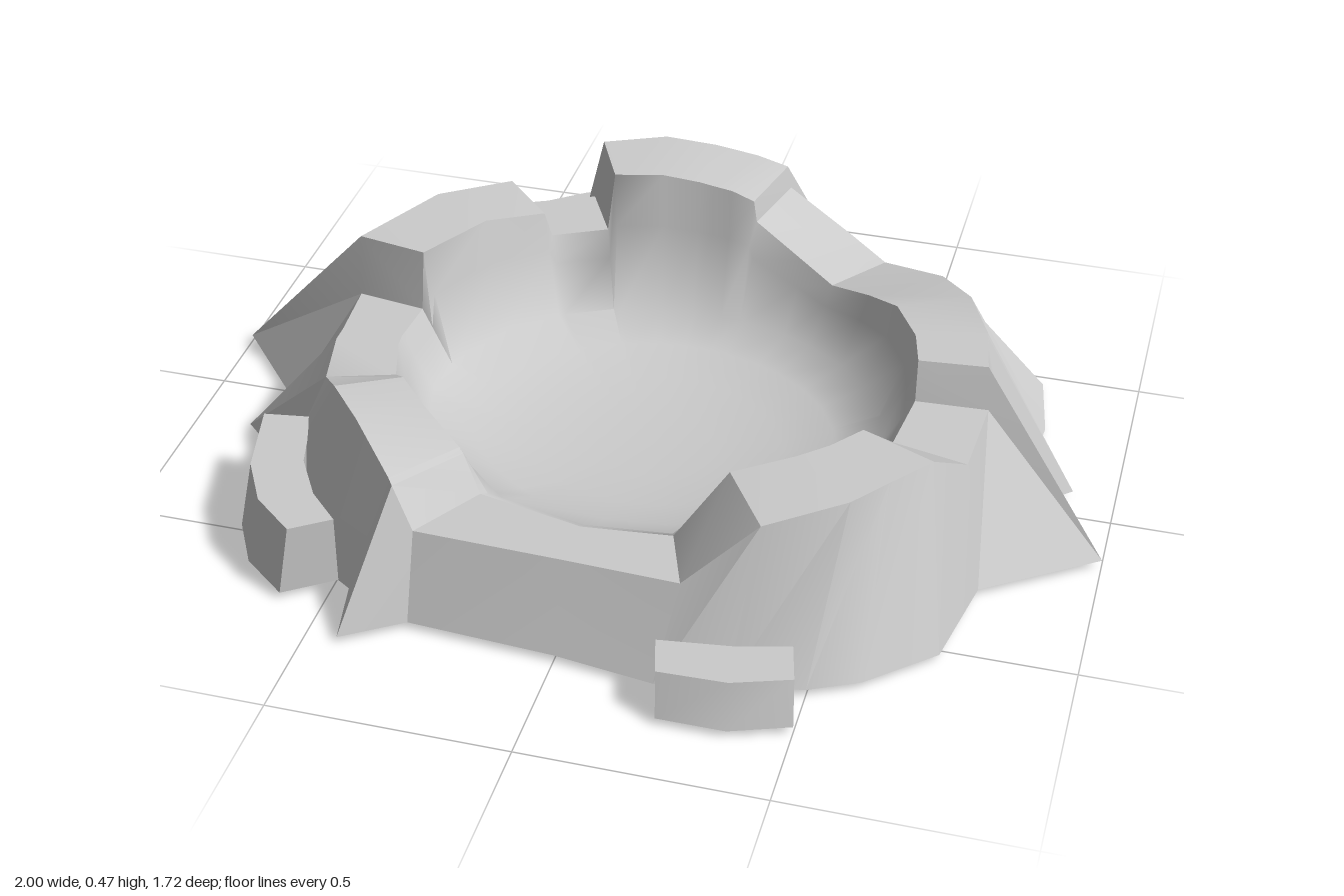
import * as THREE from 'three';
import { toCreasedNormals } from 'three/addons/utils/BufferGeometryUtils.js';

const material = new THREE.MeshStandardMaterial({ color: 0xcccccc, side: THREE.DoubleSide });
const GROUND = 0.015;

// Stations around the crater: foot x, foot z, crest x, crest z, crest height
const front = [
  [-0.31, 0.71, -0.31, 0.65, 0.2], [0, 0.73, 0, 0.66, 0.2], [0.21, 0.76, 0.24, 0.67, 0.2],
  [0.35, 0.73, 0.39, 0.645, 0.35], [0.5, 0.7, 0.54, 0.54, 0.36], [0.6, 0.65, 0.6, 0.46, 0.36],
  [0.73, 0.53, 0.67, 0.37, 0.36],
];
const left = [
  [0.73, 0.53, 0.67, 0.37, 0.36], [0.77, 0.31, 0.72, 0.24, 0.27], [1, 0.15, 0.73, 0.05, 0.275],
  [0.8, 0.03, 0.72, 0.02, 0.36], [0.91, -0.07, 0.7, -0.09, 0.36], [0.81, -0.12, 0.7, -0.1, 0.36],
  [0.82, -0.28, 0.64, -0.24, 0.355], [0.79, -0.45, 0.56, -0.36, 0.32], [0.5, -0.56, 0.42, -0.43, 0.29],
];
const back = [
  [0.5, -0.56, 0.42, -0.43, 0.29], [0.45, -0.65, 0.33, -0.48, 0.32], [0.28, -0.78, 0.18, -0.535, 0.385],
  [0.24, -0.86, 0.17, -0.54, 0.435], [0.11, -0.79, 0.1, -0.545, 0.45], [0.07, -0.85, 0.04, -0.55, 0.455],
  [0, -0.8, 0, -0.55, 0.46], [-0.2, -0.76, -0.11, -0.54, 0.47], [-0.37, -0.62, -0.24, -0.48, 0.47],
  [-0.41, -0.59, -0.26, -0.47, 0.33], [-0.56, -0.5, -0.41, -0.4, 0.33],
];
const right = [
  [-0.56, -0.5, -0.41, -0.4, 0.33], [-0.66, -0.52, -0.43, -0.39, 0.39], [-0.84, -0.36, -0.56, -0.26, 0.41],
  [-1, -0.17, -0.66, -0.04, 0.415], [-0.82, 0.04, -0.66, -0.02, 0.28], [-0.8, 0.16, -0.65, 0.12, 0.28],
  [-0.87, 0.16, -0.65, 0.16, 0.28], [-0.74, 0.28, -0.62, 0.3, 0.28], [-0.7, 0.4, -0.56, 0.4, 0.335],
  [-0.6, 0.55, -0.48, 0.49, 0.33], [-0.46, 0.64, -0.37, 0.61, 0.29], [-0.43, 0.79, -0.36, 0.62, 0.28],
  [-0.31, 0.71, -0.31, 0.65, 0.2],
];

// Skin a list of cross-sections, each a list of [x, y, z] points
function loft(name, sections, crease) {
  const n = sections[0].length;
  const index = [];
  for (let i = 0; i < sections.length - 1; i++) {
    for (let j = 0; j < n - 1; j++) {
      const a = i * n + j, b = a + n;
      index.push(a, b, b + 1, a, b + 1, a + 1);
    }
  }
  const geometry = new THREE.BufferGeometry();
  geometry.setAttribute('position', new THREE.Float32BufferAttribute(sections.flat(2), 3));
  geometry.setIndex(index);
  const mesh = new THREE.Mesh(toCreasedNormals(geometry, crease), material);
  mesh.name = name;
  return mesh;
}

// Inner lip: the crest pulled in onto an ellipse
const CX = 0.03, CZ = 0.085;
function lip([, , x, z]) {
  const dx = x - CX, dz = z - CZ;
  const k = 1 / Math.hypot(dx / 0.55, dz / 0.465);
  return [CX + dx * k, CZ + dz * k];
}

// Outer slope and flat crest of one sector
function rim(name, stations) {
  return loft(name, stations.map((s) => {
    const [ix, iz] = lip(s);
    return [[s[0], GROUND, s[1]], [s[2], s[4], s[3]], [ix, s[4], iz]];
  }), 0.45);
}

// Shallow dish that steepens up to the lip
function bowl(stations) {
  return loft('bowl', stations.map((s) => {
    const [ix, iz] = lip(s);
    return [1, 0.96, 0.88, 0.7, 0.5, 0.25, 0].map((t) => {
      const dish = 0.08 + 0.11 * t ** 3;
      const wall = Math.max(0, (t - 0.88) / 0.12) ** 1.3;
      return [CX + (ix - CX) * t, dish + (s[4] - dish) * wall, CZ + (iz - CZ) * t];
    });
  }), 1.2);
}

// Curved slab against the slope; rows hold outer x, z and inner x, z
function slab(name, rows, top, bottom) {
  const group = new THREE.Group();
  group.name = name;
  const sections = rows.map(([ox, oz, ix, iz]) => [
    [ox, bottom, oz],
    [ox + (ix - ox) * 0.22, top, oz + (iz - oz) * 0.22],
    [ix, top, iz],
    [ix, bottom, iz],
  ]);
  group.add(loft('slabBody', sections, 0.45));
  // End faces
  const ends = [sections[0], sections[sections.length - 1]];
  ends.forEach(([a, b, c, d], i) => {
    const pair = [[a, b], [d, c]];
    group.add(loft('slabEnd', i ? pair : pair.reverse(), 0.1));
  });
  return group;
}

export function createModel() {
  const model = new THREE.Group();
  model.name = 'crater';
  model.add(
    rim('frontRim', front),
    rim('leftRim', left),
    rim('backRim', back),
    rim('rightRim', right),
    bowl([...front, ...left, ...back, ...right]),
    slab('frontSlab', [
      [0.5, 0.81, 0.47, 0.69], [0.38, 0.855, 0.36, 0.72], [0.24, 0.855, 0.21, 0.74],
    ].reverse(), 0.11, GROUND),
    slab('backSlab', [
      [-0.03, -0.86, -0.05, -0.7], [-0.2, -0.83, -0.18, -0.66],
      [-0.37, -0.76, -0.3, -0.6], [-0.5, -0.66, -0.39, -0.53],
    ], 0.18, 0),
    slab('rightSlab', [
      [-0.79, 0.32, -0.66, 0.3], [-0.75, 0.5, -0.62, 0.45],
      [-0.69, 0.61, -0.56, 0.55], [-0.59, 0.69, -0.49, 0.62],
    ], 0.17, GROUND),
  );
  return model;
}
